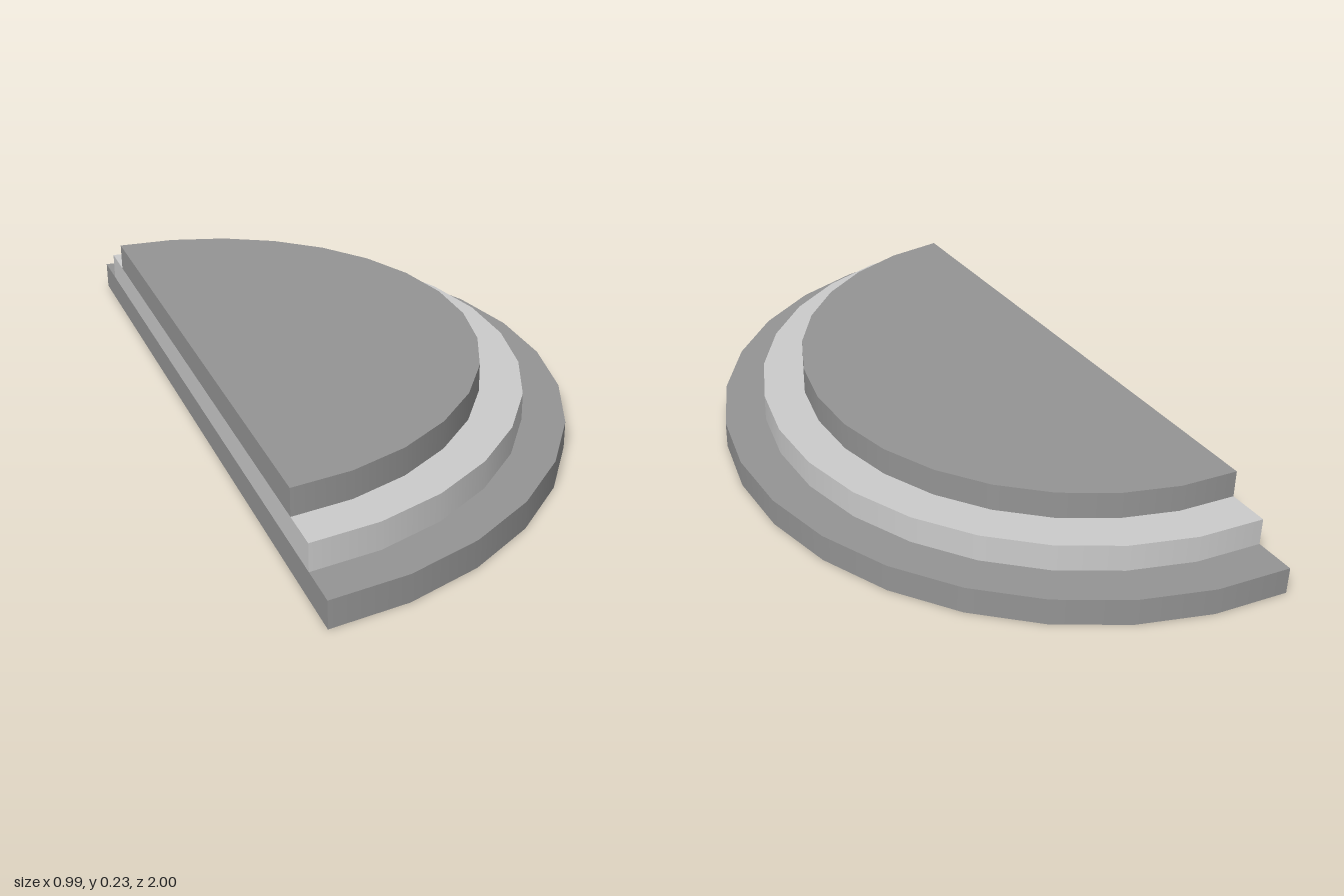
import * as THREE from 'three';
import { mergeGeometries } from 'three/addons/utils/BufferGeometryUtils.js';

const SEGMENTS = 15;
const STEP_HEIGHT = 1 / 13;
const BACK_X = -Math.cos(Math.PI / SEGMENTS / 2) / 2;

// Half disc bulging toward +x, closed by a flat wall on its straight side
function halfDisc(radius) {
  const disc = new THREE.CylinderGeometry(radius, radius, STEP_HEIGHT, SEGMENTS, 1, false, 0, Math.PI);
  const wall = new THREE.PlaneGeometry(radius * 2, STEP_HEIGHT).rotateY(-Math.PI / 2);
  return mergeGeometries([disc, wall]);
}

export function createModel() {
  const model = new THREE.Group();
  model.name = 'semicircularSteps';

  const dark = new THREE.MeshStandardMaterial({ color: 0x949494 });
  const light = new THREE.MeshStandardMaterial({ color: 0xcccccc });

  // Three stacked steps, each smaller than the one below
  const steps = [
    ['bottomStep', 1, dark],
    ['middleStep', 11.5 / 13, light],
    ['topStep', 10 / 13, dark],
  ];
  steps.forEach(([name, radius, material], i) => {
    const step = new THREE.Mesh(halfDisc(radius), material);
    step.name = name;
    step.position.set(BACK_X, (i + 0.5) * STEP_HEIGHT, 0);
    model.add(step);
  });

  return model;
}
